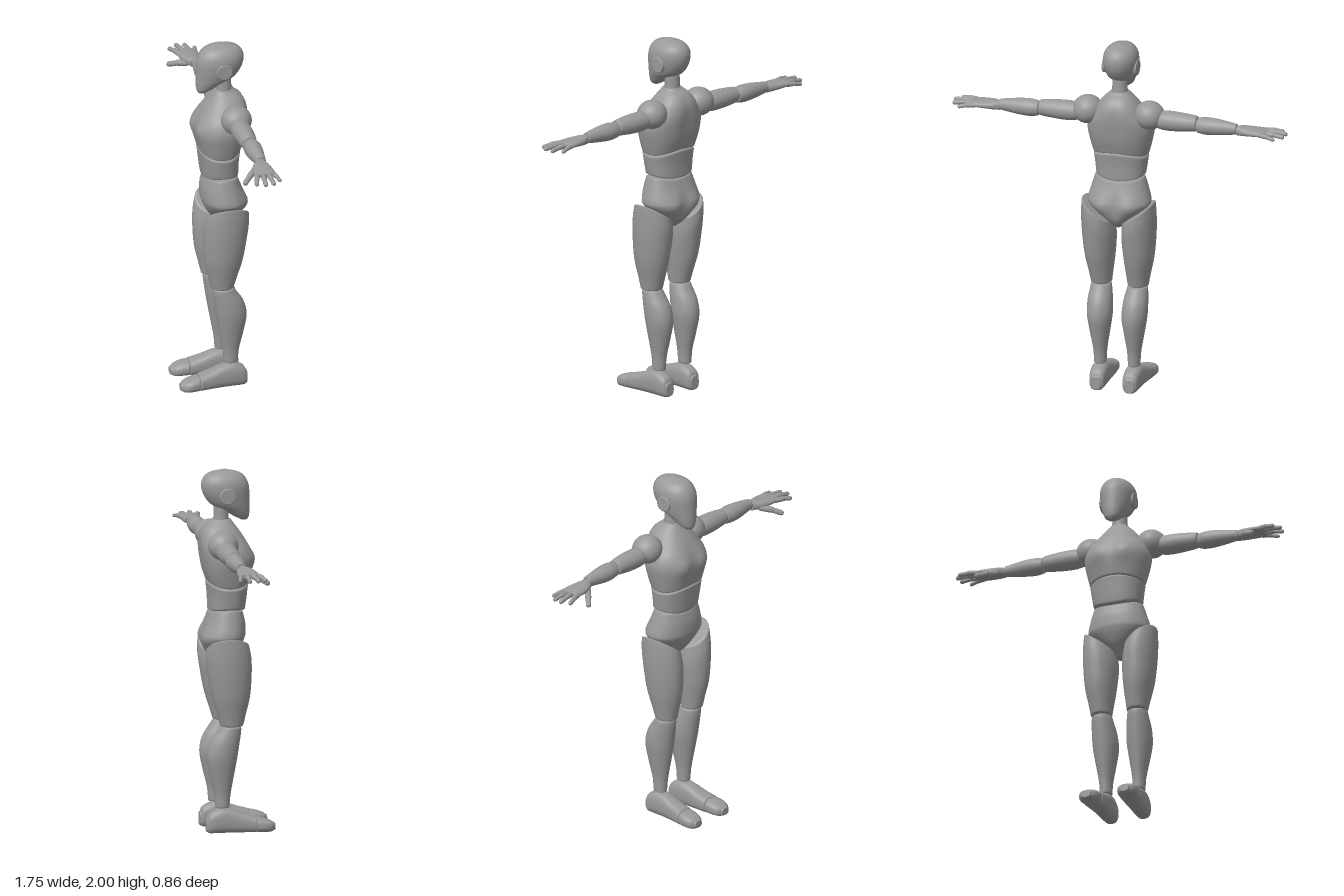
import * as THREE from 'three';

const grey = new THREE.MeshStandardMaterial({ color: 0x999999 });
grey.name = 'mannequin grey';

// Closed loft up the y axis. Each section is [y, halfWidth, zFront, zBack, centreX].
function loft(sections, { power = 2, warp = null, steps = 5, sides = 36, bevel = 0.006 } = {}) {
  const rows = [];
  const n = sections.length;
  const get = (i, k) => sections[Math.max(0, Math.min(n - 1, i))][k] ?? 0;
  const spline = (i, k, t) => {
    const a = get(i - 1, k), b = get(i, k), c = get(i + 1, k), d = get(i + 2, k);
    return 0.5 * (2 * b + (c - a) * t + (2 * a - 5 * b + 4 * c - d) * t * t + (3 * b - a - 3 * c + d) * t * t * t);
  };
  for (let i = 0; i < n - 1; i++)
    for (let s = 0; s < steps; s++) rows.push([0, 1, 2, 3, 4].map((k) => spline(i, k, s / steps)));
  rows.push([0, 1, 2, 3, 4].map((k) => get(n - 1, k)));
  // rounded rim at both ends
  const shrink = (r, f, dy) => {
    const c = (r[2] + r[3]) / 2, h = ((r[2] - r[3]) / 2) * f;
    return [r[0] + dy, r[1] * f, c + h, c - h, r[4]];
  };
  const first = rows[0], last = rows[rows.length - 1];
  rows.unshift(shrink(first, 0.9, -bevel), shrink(first, 0.97, -bevel * 0.6));
  rows.push(shrink(last, 0.97, bevel * 0.6), shrink(last, 0.9, bevel));

  const pos = [], index = [];
  const v = new THREE.Vector3();
  const add = (x, y, z) => {
    v.set(x, y, z);
    if (warp) warp(v);
    pos.push(v.x, v.y, v.z);
  };
  const ring = ([y, rx, zf, zb, cx]) => {
    for (let j = 0; j < sides; j++) {
      const a = (j / sides) * Math.PI * 2, c = Math.cos(a), s = Math.sin(a);
      const px = Math.sign(c) * Math.abs(c) ** (2 / power), pz = Math.sign(s) * Math.abs(s) ** (2 / power);
      add(cx + px * rx, y, (zf + zb) / 2 + pz * (zf - zb) / 2);
    }
  };
  rows.forEach(ring);
  for (let i = 0; i < rows.length - 1; i++)
    for (let j = 0; j < sides; j++) {
      const a = i * sides + j, b = i * sides + (j + 1) % sides;
      index.push(a, a + sides, b, b, a + sides, b + sides);
    }
  for (const [r, top] of [[rows[0], false], [rows[rows.length - 1], true]]) {
    const start = pos.length / 3;
    ring(r);
    add(r[4], r[0], (r[2] + r[3]) / 2);
    for (let j = 0; j < sides; j++) {
      const a = start + j, b = start + (j + 1) % sides;
      index.push(start + sides, top ? b : a, top ? a : b);
    }
  }
  const g = new THREE.BufferGeometry();
  g.setAttribute('position', new THREE.Float32BufferAttribute(pos, 3));
  g.setIndex(index);
  g.computeVertexNormals();
  return g;
}

function mirrored(geometry) {
  const g = geometry.clone().scale(-1, 1, 1);
  const ix = g.index.array;
  for (let i = 0; i < ix.length; i += 3) [ix[i], ix[i + 1]] = [ix[i + 1], ix[i]];
  g.computeVertexNormals();
  return g;
}

const bump = (x, y, sx, sy) => Math.exp(-((x / sx) ** 2) - (y / sy) ** 2);
const step = THREE.MathUtils.smoothstep;

export function createModel() {
  const model = new THREE.Group();
  const body = new THREE.Group();
  body.name = 'mannequin';
  body.rotation.y = -0.41;
  model.add(body);

  const part = (name, geometry, x = 0) => {
    const mesh = new THREE.Mesh(geometry, grey);
    mesh.name = name;
    mesh.position.x = x;
    body.add(mesh);
  };
  const pair = (name, geometry, shift = 0) => {
    part('left' + name, geometry, shift);
    part('right' + name, mirrored(geometry), shift);
  };

  // Head, ears and neck
  part('head', loft([
    [1.723, 0.022, 0.138, 0.095], [1.74, 0.042, 0.146, 0.06], [1.775, 0.061, 0.149, 0.005], [1.81, 0.077, 0.149, -0.065],
    [1.86, 0.09, 0.148, -0.103], [1.91, 0.095, 0.144, -0.117], [1.95, 0.086, 0.128, -0.11], [1.978, 0.064, 0.1, -0.085],
    [1.992, 0.036, 0.06, -0.05], [1.997, 0.012, 0.03, -0.02],
  ], { bevel: 0.003, power: 2.1 }));
  pair('Ear', loft([[0.07, 0.045, 0.045, -0.045], [0.094, 0.045, 0.045, -0.045]], { bevel: 0.004 })
    .rotateZ(-Math.PI / 2).translate(0, 1.865, 0.012));
  part('neck', loft([[1.69, 0.048, 0.042, -0.058], [1.73, 0.043, 0.034, -0.05], [1.8, 0.041, 0.034, -0.048]]));

  // Torso: chest with arched lower rim, abdomen, pelvis
  const arch = (x) => 0.026 * Math.max(0, 1 - (x / 0.15) ** 2);
  part('chest', loft([
    [1.365, 0.152, 0.138, -0.09], [1.43, 0.169, 0.15, -0.108], [1.51, 0.184, 0.157, -0.122], [1.57, 0.172, 0.142, -0.13],
    [1.62, 0.138, 0.118, -0.131], [1.66, 0.112, 0.092, -0.122], [1.695, 0.083, 0.066, -0.1], [1.722, 0.053, 0.046, -0.062],
  ], {
    power: 2.3,
    warp: (p) => {
      p.y += arch(p.x) * (1 - step(p.y, 1.365, 1.5));
      if (p.z > 0) p.z += 0.016 * bump(Math.abs(p.x) - 0.08, p.y - 1.52, 0.055, 0.06) - 0.008 * bump(p.x, p.y - 1.52, 0.02, 0.09);
      else p.z += 0.01 * bump(p.x, p.y - 1.54, 0.025, 0.13);
    },
  }));
  const dip = (x) => -0.02 * Math.max(0, 1 - (x / 0.14) ** 2);
  part('abdomen', loft([
    [1.25, 0.137, 0.118, -0.08], [1.3, 0.144, 0.128, -0.082], [1.352, 0.151, 0.137, -0.09],
  ], {
    power: 2.3,
    warp: (p) => {
      const t = step(p.y, 1.25, 1.352);
      p.y += dip(p.x) * (1 - t) + arch(p.x) * t;
    },
  }));
  part('pelvis', loft([
    [0.948, 0.022, 0.03, -0.045], [0.972, 0.045, 0.058, -0.08], [1.005, 0.085, 0.085, -0.104], [1.045, 0.138, 0.106, -0.116],
    [1.078, 0.171, 0.118, -0.118], [1.105, 0.175, 0.122, -0.114], [1.17, 0.157, 0.12, -0.095], [1.233, 0.138, 0.108, -0.076],
  ], {
    power: 2.2,
    warp: (p) => {
      if (p.z < 0) p.z += 0.014 * (bump(p.x, p.y - 1.07, 0.018, 0.08) - bump(Math.abs(p.x) - 0.085, p.y - 1.08, 0.05, 0.05));
      p.y += dip(p.x) * step(p.y, 1.12, 1.233);
    },
  }), 0.004);

  // Legs: thigh tops slope up to the hip
  const legShift = 0.012;
  pair('Thigh', loft([
    [0.6, 0.058, 0.096, -0.032, 0.104], [0.66, 0.067, 0.11, -0.05, 0.106], [0.76, 0.083, 0.132, -0.08, 0.11],
    [0.88, 0.093, 0.14, -0.102, 0.113], [0.96, 0.093, 0.138, -0.113, 0.114], [1.025, 0.088, 0.126, -0.112, 0.115],
  ], {
    warp: (p) => { p.y += 0.72 * (p.x - 0.115) * step(p.y, 0.75, 1.03); },
  }), legShift);
  pair('Shin', loft([
    [0.147, 0.034, 0.021, -0.057, 0.096], [0.22, 0.038, 0.028, -0.064, 0.096], [0.32, 0.054, 0.046, -0.088, 0.097],
    [0.42, 0.069, 0.064, -0.105, 0.098], [0.5, 0.068, 0.076, -0.088, 0.1], [0.56, 0.06, 0.084, -0.05, 0.102],
    [0.584, 0.056, 0.084, -0.034, 0.103],
  ]), legShift);

  // Feet: lofted heel to toe, sole at y = 0
  const foot = (s, power) => loft(s, { power }).rotateX(Math.PI / 2);
  pair('Foot', foot([
    [-0.1, 0.03, -0.006, -0.085, 0.094], [-0.085, 0.042, 0, -0.112, 0.094], [-0.03, 0.049, 0, -0.136, 0.095],
    [0.03, 0.05, 0, -0.13, 0.097], [0.1, 0.053, 0, -0.105, 0.101], [0.16, 0.057, 0, -0.087, 0.106],
  ], 2.7), legShift + 0.003);
  pair('Toes', foot([
    [0.172, 0.056, 0, -0.083, 0.107], [0.21, 0.057, 0, -0.074, 0.11], [0.245, 0.047, 0, -0.062, 0.111],
    [0.264, 0.028, -0.007, -0.05, 0.111],
  ], 2.6), legShift + 0.003);

  // Arms: lofted outward along x
  const along = (s, y, z, o) => loft(s, o).rotateZ(-Math.PI / 2).translate(0, y, z);
  pair('Shoulder', new THREE.SphereGeometry(1, 32, 24).scale(0.083, 0.079, 0.084).rotateZ(-0.2).translate(0.175, 1.612, -0.032));
  pair('UpperArm', along([
    [0.225, 0.046, 0.05, -0.05], [0.27, 0.054, 0.056, -0.056], [0.34, 0.053, 0.055, -0.055], [0.41, 0.047, 0.048, -0.048],
    [0.44, 0.043, 0.043, -0.043],
  ], 1.592, -0.033));
  pair('Forearm', along([
    [0.455, 0.042, 0.042, -0.042], [0.5, 0.048, 0.049, -0.049], [0.56, 0.045, 0.046, -0.044], [0.63, 0.036, 0.034, -0.034],
    [0.665, 0.03, 0.029, -0.029],
  ], 1.586, -0.036));
  pair('Palm', along([
    [0.675, 0.026, 0.028, -0.028], [0.71, 0.025, 0.05, -0.04], [0.76, 0.021, 0.063, -0.048], [0.81, 0.017, 0.067, -0.051],
    [0.832, 0.013, 0.064, -0.05],
  ], 1.577, -0.028, { power: 2.4 }));

  // Fingers: two jointed capsules from knuckle to tip
  const segment = (a, b, r) => {
    const d = new THREE.Vector3().subVectors(b, a);
    const turn = new THREE.Quaternion().setFromUnitVectors(new THREE.Vector3(0, 1, 0), d.clone().normalize());
    return new THREE.CapsuleGeometry(r, d.length(), 5, 12).applyQuaternion(turn).translate(...a.clone().add(b).multiplyScalar(0.5).toArray());
  };
  const finger = (name, a, b, r) => {
    const p = new THREE.Vector3(...a), q = new THREE.Vector3(...b);
    const mid = p.clone().lerp(q, 0.5);
    mid.y += 0.004;
    pair(name + 'Base', segment(p, mid, r));
    pair(name + 'Tip', segment(mid, q, r * 0.86));
  };
  finger('Index', [0.815, 1.575, 0.025], [0.905, 1.566, 0.051], 0.0145);
  finger('Middle', [0.82, 1.577, -0.007], [0.933, 1.57, 0.008], 0.0145);
  finger('Ring', [0.82, 1.576, -0.037], [0.928, 1.568, -0.039], 0.014);
  finger('Little', [0.81, 1.574, -0.065], [0.888, 1.565, -0.083], 0.0125);
  finger('Thumb', [0.715, 1.562, 0.01], [0.795, 1.528, 0.085], 0.0175);

  return model;
}
